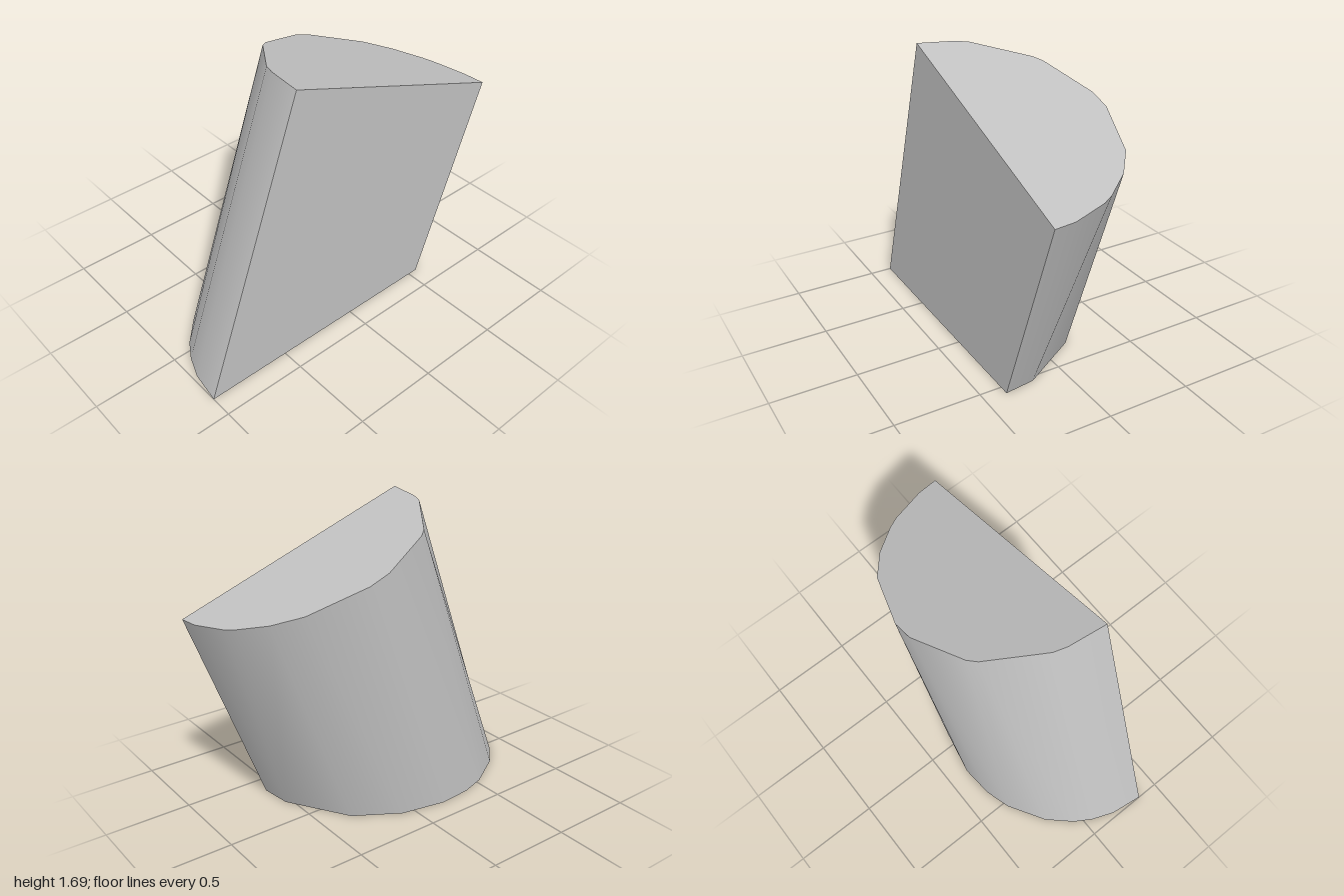
import * as THREE from 'three';

const TILT = THREE.MathUtils.degToRad(20);
const RADIUS = 0.743;
const FRONT_Z = 0.37;

// Facet angles in degrees, from the +x corner round the back to the -x corner
const TOP_ANGLES = [0, 9.3, 25.5, 31, 45.5, 59.5, 87, 97, 124, 129, 157, 163, 180];
const BASE_ANGLES = [0, 14, 46, 68, 88, 102, 113.5, 132, 145.5, 154.5, 165, 180];

const rad = THREE.MathUtils.degToRad;

// Square-cut upper rim and level-cut lower rim of the leaning half cylinder
const topPoint = (d) => new THREE.Vector3(
  0.3 + 0.7 * Math.cos(rad(d)), 1.44 - 0.254 * Math.cos(rad(d)), FRONT_Z - RADIUS * Math.sin(rad(d)));
const basePoint = (d) => new THREE.Vector3(
  -0.22 + 0.78 * Math.cos(rad(d)), 0, FRONT_Z - RADIUS * Math.sin(rad(d)));
const wallNormal = (d) => new THREE.Vector3(
  Math.cos(rad(d)) * Math.cos(TILT), -Math.cos(rad(d)) * Math.sin(TILT), -Math.sin(rad(d)));

function makeGeometry(points, normals) {
  const g = new THREE.BufferGeometry();
  g.setAttribute('position', new THREE.Float32BufferAttribute(points.flatMap((p) => p.toArray()), 3));
  if (normals) g.setAttribute('normal', new THREE.Float32BufferAttribute(normals.flatMap((n) => n.toArray()), 3));
  else g.computeVertexNormals();
  return g;
}

// Flat polygon as a fan of triangles
function fan(ring) {
  const points = [];
  for (let i = 1; i < ring.length - 1; i++) points.push(ring[0], ring[i], ring[i + 1]);
  return makeGeometry(points);
}

// Curved wall joining two rims that have different facet angles
function wall() {
  const points = [], normals = [];
  const add = (p, d) => { points.push(p); normals.push(wallNormal(d)); };
  let i = 0, j = 0;
  while (i < BASE_ANGLES.length - 1 || j < TOP_ANGLES.length - 1) {
    const b = BASE_ANGLES[i], t = TOP_ANGLES[j];
    const nextB = BASE_ANGLES[i + 1] ?? Infinity, nextT = TOP_ANGLES[j + 1] ?? Infinity;
    add(basePoint(b), b);
    if (nextB <= nextT) {
      add(basePoint(nextB), nextB);
      add(topPoint(t), t);
      i++;
    } else {
      add(topPoint(nextT), nextT);
      add(topPoint(t), t);
      j++;
    }
  }
  return makeGeometry(points, normals);
}

export function createModel() {
  const group = new THREE.Group();
  group.name = 'leaningHalfCylinder';
  const grey = new THREE.MeshStandardMaterial({ color: 0xc0c0c0 });
  grey.name = 'light grey';

  const parts = {
    curvedWall: wall(),
    topCap: fan(TOP_ANGLES.map(topPoint)),
    base: fan(BASE_ANGLES.map(basePoint).reverse()),
    frontFace: fan([basePoint(180), basePoint(0), topPoint(0), topPoint(180)]),
  };
  for (const [name, geometry] of Object.entries(parts)) {
    const mesh = new THREE.Mesh(geometry, grey);
    mesh.name = name;
    group.add(mesh);
  }
  return group;
}
